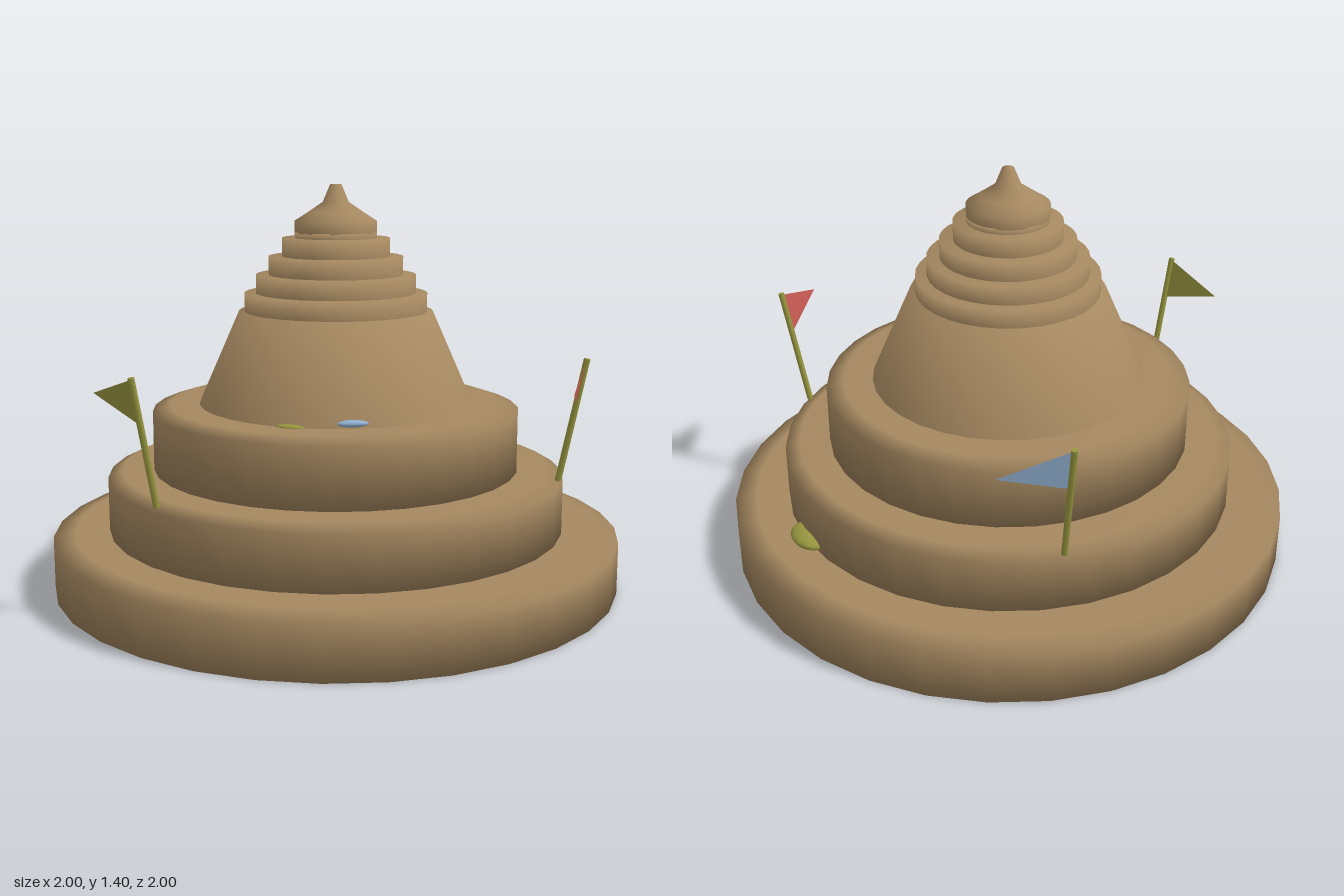
import * as THREE from 'three';

const mat = (name, color, side = THREE.FrontSide) => {
  const m = new THREE.MeshStandardMaterial({ color, side });
  m.name = name;
  return m;
};

export function createModel() {
  const group = new THREE.Group();
  const earth = mat('earth brown', 0xa58860);
  const moss = mat('moss green', 0x97963f, THREE.DoubleSide);
  const red = mat('flag red', 0xc65a52, THREE.DoubleSide);
  const blue = mat('flag blue', 0x8fb0d0, THREE.DoubleSide);

  const add = (name, geometry, material, parent = group) => {
    const mesh = new THREE.Mesh(geometry, material);
    mesh.name = name;
    parent.add(mesh);
    return mesh;
  };
  const lathe = (name, points) =>
    add(name, new THREE.LatheGeometry(points.map(([r, y]) => new THREE.Vector2(r, y)), 32), earth);

  // Three wide terraces with bevelled rims: radius, bottom, rim start, top, top radius
  [
    [1, 0, 0.18, 0.2, 0.925],
    [0.805, 0.2, 0.387, 0.41, 0.755],
    [0.645, 0.41, 0.617, 0.637, 0.585],
  ].forEach(([r, y0, y1, y2, rTop], i) =>
    lathe(`terrace${i + 1}`, [[0, y0], [r, y0], [r, y1], [rTop, y2], [0, y2]]));

  // Tapered bell
  lathe('bell', [[0.485, 0.63], [0.34, 0.96], [0, 0.96]]);

  // Stacked rings of the spire
  [0.32, 0.28, 0.235, 0.188, 0.143].forEach((r, i) => {
    const y = 0.96 + i * 0.0635;
    const top = y + (i < 4 ? 0.0635 : 0.02);
    lathe(`ring${i + 1}`, [[r, y - 0.005], [r, top], [0, top]]);
  });

  // Finial
  lathe('finial', [[0.143, 1.23], [0.143, 1.272], [0.095, 1.303], [0.045, 1.337], [0.02, 1.397], [0, 1.397]]);

  // Leaning poles with pennants, evenly spaced round the second terrace
  [['redFlag', 36, red], ['greenFlag', 156, moss], ['blueFlag', 276, blue]].forEach(([name, deg, cloth]) => {
    const flag = new THREE.Group();
    flag.name = name;
    flag.rotation.y = -THREE.MathUtils.degToRad(deg);
    group.add(flag);

    const lean = Math.atan2(0.085, 0.43);
    const pole = add('pole', new THREE.CylinderGeometry(0.011, 0.011, 0.435, 8), moss, flag);
    pole.position.set(0.833, 0.612, 0);
    pole.rotation.z = -lean;

    const pennant = new THREE.BufferGeometry();
    pennant.setAttribute('position', new THREE.Float32BufferAttribute(
      [0.873, 0.82, 0, 0.843, 0.67, 0, 0.858, 0.745, 0.235], 3));
    pennant.computeVertexNormals();
    add('pennant', pennant, cloth, flag);
  });

  // Flattened patches lying along the terraces
  const patch = (name, deg, r, y, width, height, length, material) => {
    const a = THREE.MathUtils.degToRad(deg);
    const mesh = add(name, new THREE.SphereGeometry(1, 16, 10), material);
    mesh.scale.set(width, height, length);
    mesh.position.set(r * Math.cos(a), y, r * Math.sin(a));
    mesh.rotation.y = -a;
  };
  patch('mossPatch', -12.5, 0.795, 0.218, 0.062, 0.025, 0.088, moss);
  patch('smallMossPatch', 128, 0.475, 0.637, 0.022, 0.01, 0.05, moss);
  patch('bluePatch', 103.5, 0.472, 0.652, 0.016, 0.012, 0.052, blue);

  return group;
}
